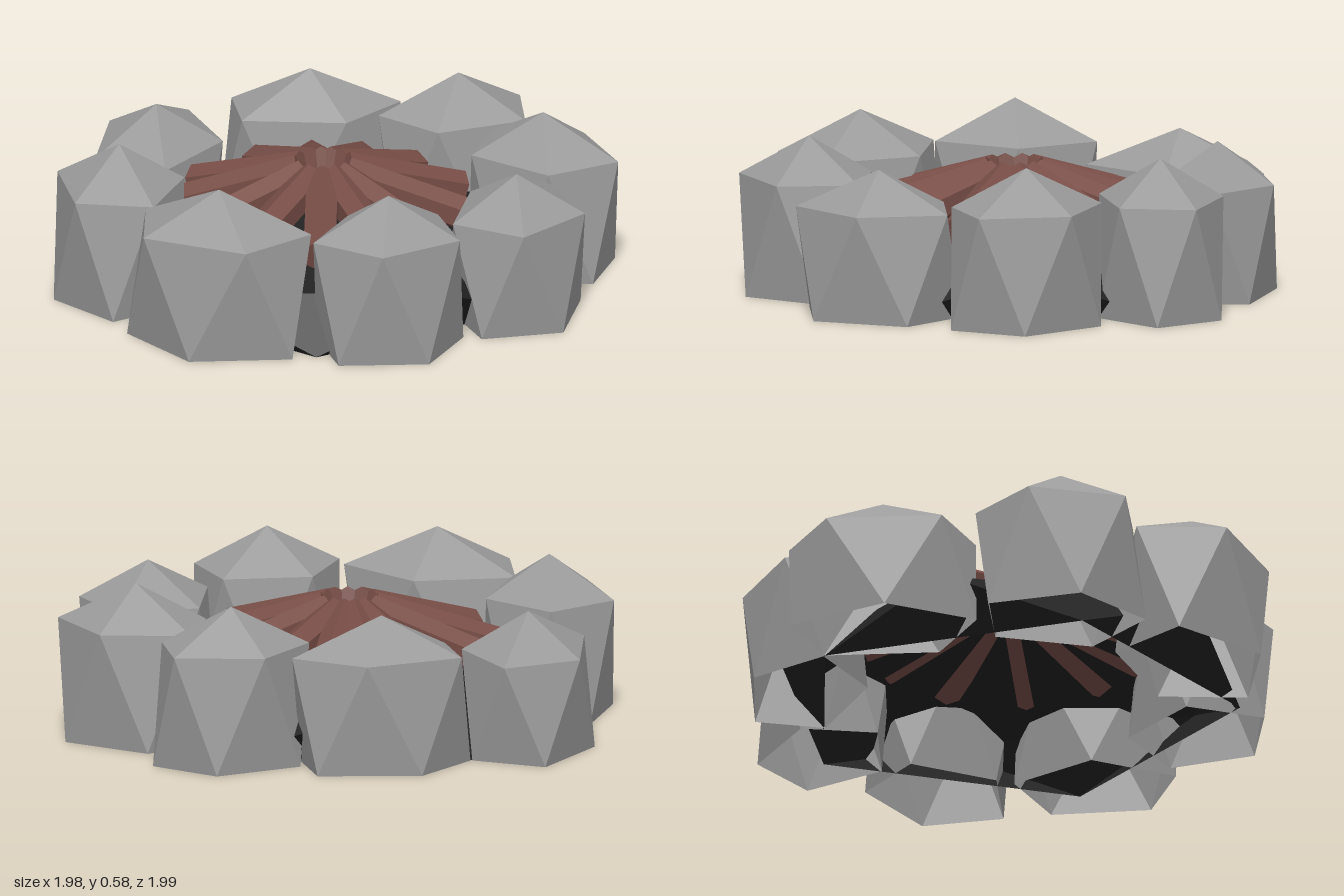
import * as THREE from 'three';

// Open-bottomed half of a stretched icosahedron: an apex, an upper pentagon and
// a lower pentagon mirrored through the axis. u and v span the pentagon's ellipse.
function domeGeometry([cx, cz], [ux, uz], [vx, vz], ringY, topY) {
  const ring = (k, sign, y) => {
    const a = k * Math.PI * 2 / 5, c = sign * Math.cos(a), s = sign * Math.sin(a);
    return [cx + ux * c + vx * s, y, cz + uz * c + vz * s];
  };
  const up = k => ring(k, 1, ringY);
  const low = k => ring(k + 3, -1, 0); // lies between upper corners k and k + 1
  const apex = [cx, topY, cz];
  const points = [];
  for (let k = 0; k < 5; k++) {
    points.push(...apex, ...up(k + 1), ...up(k));
    points.push(...up(k + 1), ...low(k), ...up(k));
    points.push(...up(k + 1), ...low(k + 1), ...low(k));
  }
  const geometry = new THREE.BufferGeometry();
  geometry.setAttribute('position', new THREE.Float32BufferAttribute(points, 3));
  geometry.computeVertexNormals();
  return geometry;
}

export function createModel() {
  const stone = new THREE.MeshStandardMaterial({ color: 0x9b9b9b, side: THREE.DoubleSide });
  const wood = new THREE.MeshStandardMaterial({ color: 0x774d46 });
  const ash = new THREE.MeshStandardMaterial({ color: 0x212121, side: THREE.DoubleSide });
  stone.name = 'stone grey';
  wood.name = 'wood brown';
  ash.name = 'ash black';

  const model = new THREE.Group();
  model.name = 'campfire';

  // Ash mound under everything
  const mound = new THREE.Mesh(domeGeometry([0, 0], [0.584, 0.573], [-0.544, 0.614], 0.19, 0.38), ash);
  mound.name = 'ashMound';
  model.add(mound);

  // Ring of stones: centre, two ellipse vectors, upper ring height, apex height
  const stones = new THREE.Group();
  stones.name = 'stoneRing';
  const rocks = [
    [[-0.24, 0.725], [0.045, -0.265], [0.345, 0.066], 0.43, 0.58],
    [[0.375, 0.635], [0.12, -0.26], [0.245, 0.085], 0.43, 0.58],
    [[0.74, 0.175], [0.053, -0.305], [0.245, 0.068], 0.4, 0.54],
    [[0.69, -0.4], [0.095, -0.23], [0.28, 0.126], 0.43, 0.58],
    [[0.28, -0.745], [0.173, -0.23], [0.22, 0.115], 0.43, 0.58],
    [[-0.27, -0.71], [0.013, -0.235], [0.32, -0.06], 0.415, 0.56],
    [[-0.75, -0.325], [0.03, -0.355], [0.24, 0.06], 0.37, 0.51],
    [[-0.72, 0.33], [-0.057, -0.305], [0.245, -0.026], 0.43, 0.58],
  ];
  rocks.forEach((rock, i) => {
    const mesh = new THREE.Mesh(domeGeometry(...rock), stone);
    mesh.name = `stone${i + 1}`;
    stones.add(mesh);
  });
  model.add(stones);

  // Six-sided logs lying on the mound, fanned around a small central opening
  const slope = 0.285, length = 0.475;
  const logGeometry = new THREE.CylinderGeometry(0.067, 0.067, length, 6).toNonIndexed();
  logGeometry.computeVertexNormals();
  logGeometry.rotateX(Math.PI / 2);   // lie along z with a ridge on top
  logGeometry.rotateX(slope);         // outer end dips
  logGeometry.translate(0, 0.352, 0.315);

  const logs = new THREE.Group();
  logs.name = 'logs';
  logs.position.x = -0.035;
  const angles = [-4, 28, 52, 77, 106, 136, 170, 196, 229, 251, 270, 293, 323];
  angles.forEach((degrees, i) => {
    const log = new THREE.Mesh(logGeometry, wood);
    log.name = `log${i + 1}`;
    log.rotation.y = THREE.MathUtils.degToRad(90 - degrees);
    logs.add(log);
  });
  model.add(logs);

  return model;
}
